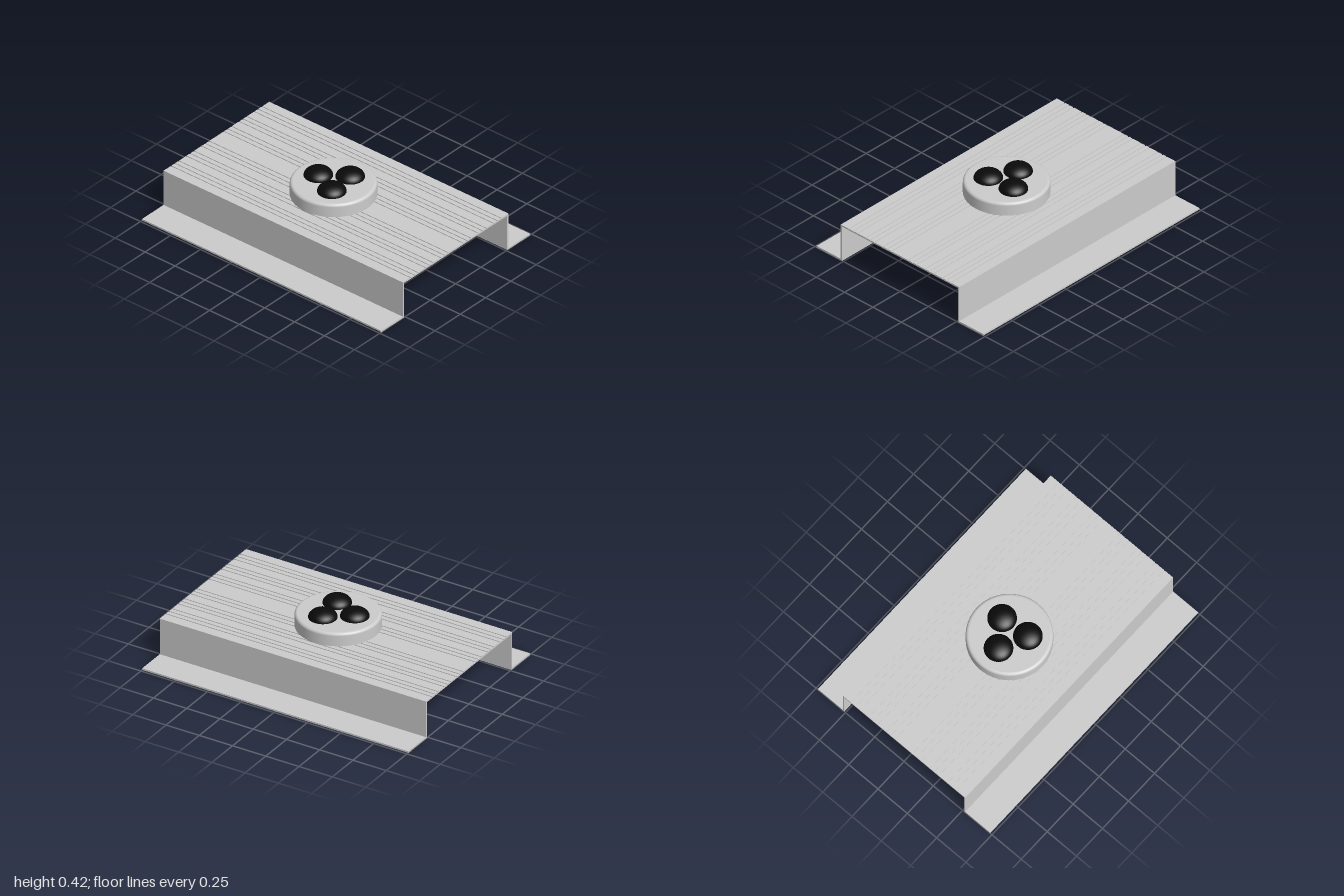
import * as THREE from 'three';

const grey = new THREE.MeshStandardMaterial({ color: 0xcccccc });
const black = new THREE.MeshStandardMaterial({ color: 0x0a0a0a });

function add(group, name, geometry, material, x = 0, y = 0, z = 0) {
  const mesh = new THREE.Mesh(geometry, material);
  mesh.name = name;
  mesh.position.set(x, y, z);
  group.add(mesh);
  return mesh;
}

// Hat-section rail, with narrow grooves running along its top
function railGeometry() {
  const t = 0.012, top = 0.274, web = 0.522, flange = 0.735;
  const half = 0.004, depth = 0.005;
  const grooves = [0.073, 0.111, 0.149, 0.223, 0.261, 0.299, 0.373, 0.411, 0.449];
  const centres = [...grooves.map((x) => -x).reverse(), ...grooves];

  const outline = [[-web + t, 0], [-flange, 0], [-flange, t], [-web, t], [-web, top]];
  for (const x of centres) {
    outline.push([x - half, top], [x - half, top - depth], [x + half, top - depth], [x + half, top]);
  }
  outline.push([web, top], [web, t], [flange, t], [flange, 0], [web - t, 0]);
  outline.push([web - t, top - t], [-web + t, top - t]);

  const shape = new THREE.Shape(outline.map(([x, y]) => new THREE.Vector2(x, y)));
  const geometry = new THREE.ExtrudeGeometry(shape, { depth: 2, bevelEnabled: false });
  return geometry.translate(0, 0, -1);
}

// Round housing with a filleted upper rim; doubled points keep the lower edge sharp
function housingGeometry() {
  const r = 0.28, bottom = 0.25, top = 0.367, fillet = 0.02;
  const points = [[0, bottom], [r, bottom], [r, bottom]];
  for (let i = 0; i <= 6; i++) {
    const a = (i / 6) * Math.PI / 2;
    points.push([r - fillet + fillet * Math.cos(a), top - fillet + fillet * Math.sin(a)]);
  }
  points.push([r - fillet - 0.001, top], [0, top]);
  return new THREE.LatheGeometry(points.map(([x, y]) => new THREE.Vector2(x, y)), 72);
}

export function createModel() {
  const model = new THREE.Group();
  model.name = 'railWithLamp';
  add(model, 'groovedRail', railGeometry(), grey);

  const lamp = new THREE.Group();
  lamp.name = 'lamp';
  lamp.position.set(-0.018, 0, -0.006);
  model.add(lamp);
  add(lamp, 'housing', housingGeometry(), grey);

  // Three flattened domes set evenly around the centre
  const dome = new THREE.SphereGeometry(0.095, 40, 12, 0, Math.PI * 2, 0, Math.PI / 2);
  dome.scale(1, 0.6, 1);
  for (let i = 0; i < 3; i++) {
    const a = -1.66 + (i * Math.PI * 2) / 3;
    add(lamp, `dome${i + 1}`, dome, black, 0.118 * Math.cos(a), 0.366, 0.118 * Math.sin(a));
  }
  return model;
}
